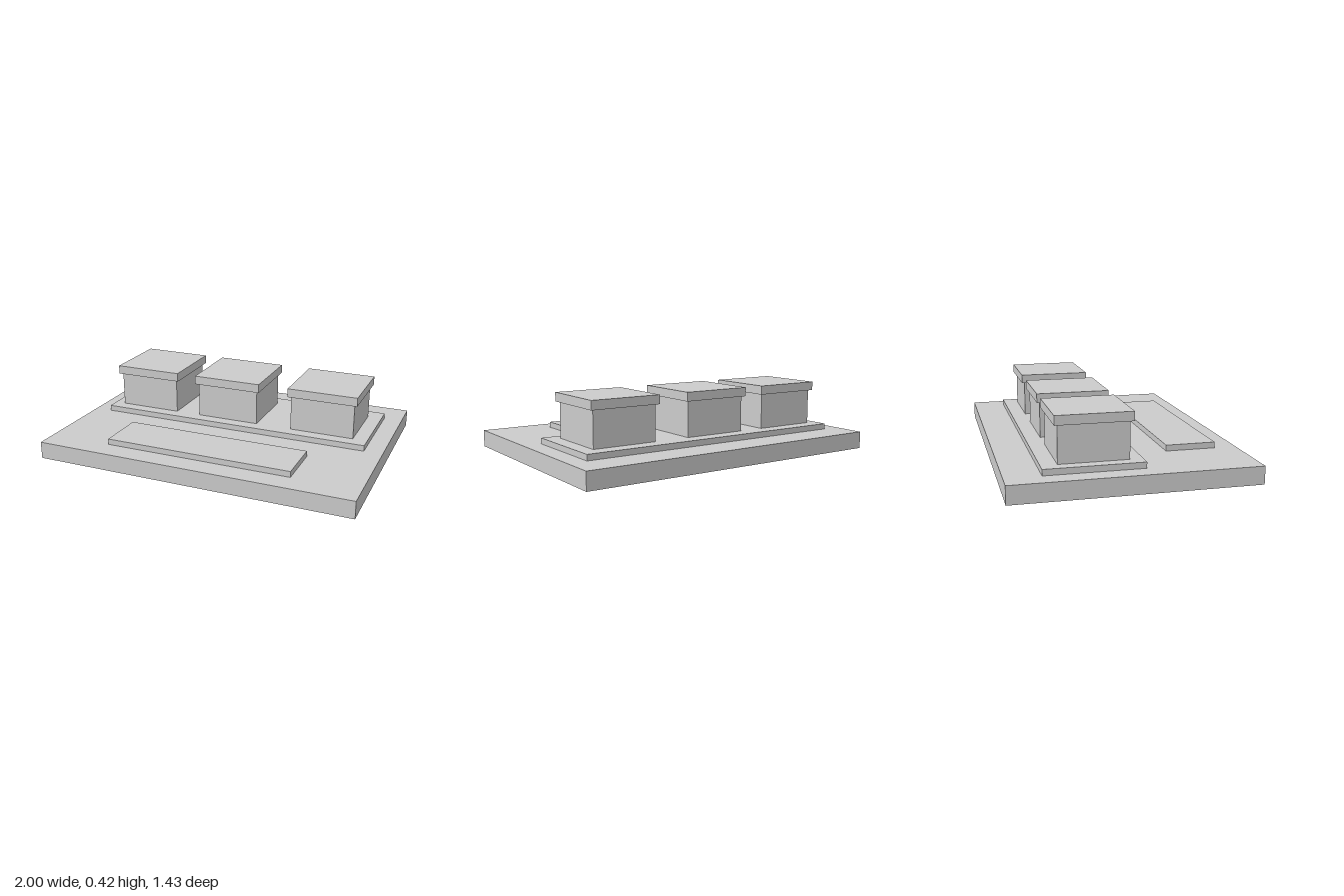
import * as THREE from 'three';

const material = new THREE.MeshStandardMaterial({ color: 0xcccccc, flatShading: true });

// Box given by its extents along each axis
function block(name, [x0, x1], [y0, y1], [z0, z1]) {
  const mesh = new THREE.Mesh(new THREE.BoxGeometry(x1 - x0, y1 - y0, z1 - z0), material);
  mesh.position.set((x0 + x1) / 2, (y0 + y1) / 2, (z0 + z1) / 2);
  mesh.name = name;
  return mesh;
}

export function createModel() {
  const model = new THREE.Group();
  model.name = 'buttonPanel';

  // Ground slab and the two low plinths on it
  const slabTop = 0.107, plinthTop = 0.143;
  model.add(
    block('baseSlab', [-1, 1], [0, slabTop], [-0.715, 0.715]),
    block('rearPlinth', [-0.888, 0.885], [slabTop, plinthTop], [-0.508, 0.07]),
    block('frontPlinth', [-0.594, 0.59], [slabTop, plinthTop], [0.277, 0.58])
  );

  // Three square blocks with overhanging lids
  const bodyHalf = 0.203, lidHalf = 0.222, lidBottom = 0.363, lidTop = 0.418, z = -0.21;
  [-0.617, -0.045, 0.592].forEach((x, i) => {
    const unit = new THREE.Group();
    unit.name = ['rightBlock', 'middleBlock', 'leftBlock'][i];
    const around = (c, half) => [c - half, c + half];
    unit.add(
      block('body', around(x, bodyHalf), [plinthTop, lidBottom], around(z, bodyHalf)),
      block('lid', around(x, lidHalf), [lidBottom, lidTop], around(z, lidHalf))
    );
    model.add(unit);
  });

  return model;
}
